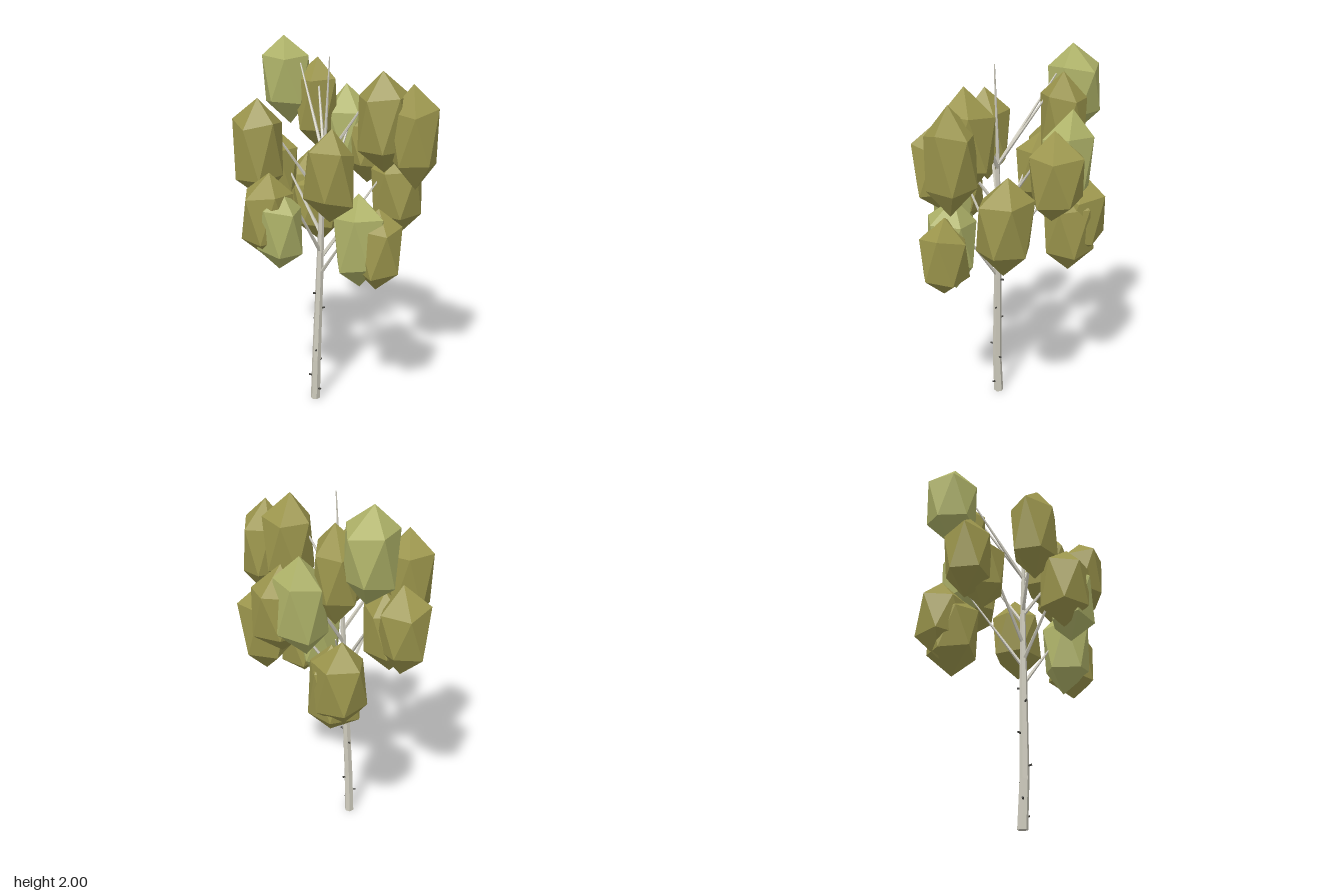
import * as THREE from 'three';
import { ConvexGeometry } from 'three/addons/geometries/ConvexGeometry.js';

const material = (color) => new THREE.MeshStandardMaterial({ color, flatShading: true });
const bark = material(0xcfccbe);
const dark = material(0x45443f);
const olive = material(0x9b954c);
const light = material(0xaeb268);

// Foliage clumps: x, z, bottom y, top y, radius, colour
const clumps = [
  [0.225, -0.31, 0.96, 1.47, 0.142, olive],
  [0.435, -0.175, 1.29, 1.82, 0.13, olive],
  [0.29, -0.112, 1.36, 1.875, 0.138, olive],
  [0.37, 0.00, 0.78, 1.21, 0.13, olive],
  [0.29, 0.05, 0.775, 1.28, 0.135, light],
  [0.243, 0.222, 1.16, 1.63, 0.128, olive],
  [0.035, 0.365, 0.90, 1.32, 0.12, light],
  [-0.03, 0.385, 0.95, 1.40, 0.135, olive],
  [-0.175, 0.315, 1.22, 1.74, 0.132, olive],
  [-0.43, 0.087, 1.11, 1.58, 0.133, olive],
  [-0.32, 0.065, 1.08, 1.52, 0.12, olive],
  [-0.41, -0.11, 1.52, 2.00, 0.14, light],
  [-0.26, -0.19, 1.39, 1.89, 0.122, olive],
  [-0.355, -0.24, 0.89, 1.35, 0.14, olive],
  [-0.295, -0.225, 0.82, 1.30, 0.138, olive],
  [-0.16, -0.325, 1.22, 1.74, 0.138, light],
  [-0.045, -0.38, 1.20, 1.66, 0.145, olive],
];

// Branch tips: x, y, z
const tips = [
  [0.20, 1.33, -0.24], [0.22, 1.74, -0.08], [0.22, 1.08, 0.035], [0.19, 1.51, 0.16],
  [0.02, 1.30, 0.30], [-0.13, 1.60, 0.27], [-0.29, 1.42, 0.065], [-0.29, 1.86, -0.10],
  [-0.22, 1.82, -0.16], [-0.22, 1.28, -0.17], [-0.09, 1.60, -0.30],
];

// Trunk centre line and radii: x, y, z, radius
const spine = [
  [-0.035, 0, 0.052, 0.027],
  [-0.024, 0.25, 0.053, 0.025],
  [-0.015, 0.75, 0.035, 0.021],
  [-0.008, 1.2, 0.022, 0.014],
  [0.005, 1.5, 0.012, 0.009],
  [0.03, 1.93, 0.005, 0.003],
];

// Centre of the trunk at a height, with its radius in w
function trunkAt(y) {
  let i = 0;
  while (i < spine.length - 2 && spine[i + 1][1] < y) i++;
  const a = new THREE.Vector4(...spine[i]), b = new THREE.Vector4(...spine[i + 1]);
  return a.lerp(b, THREE.MathUtils.clamp((y - a.y) / (b.y - a.y), 0, 1));
}

// Tapered straight limb between two points
function limb(name, a, b, ra, rb, mat) {
  const dir = b.clone().sub(a);
  const mesh = new THREE.Mesh(new THREE.CylinderGeometry(rb, ra, dir.length(), 5), mat);
  mesh.position.copy(a).lerp(b, 0.5);
  mesh.quaternion.setFromUnitVectors(new THREE.Vector3(0, 1, 0), dir.normalize());
  mesh.name = name;
  return mesh;
}

// Irregular upright icosahedron: two staggered rings of five between two poles
function clumpGeometry(radius, height, rand) {
  const jitter = (s) => (rand() - 0.5) * s;
  const turn = rand() * Math.PI * 2;
  const points = [
    new THREE.Vector3(jitter(0.04), height / 2, jitter(0.04)),
    new THREE.Vector3(jitter(0.04), -height / 2, jitter(0.04)),
  ];
  for (let i = 0; i < 10; i++) {
    const a = turn + (i / 10) * Math.PI * 2;
    const r = radius * (1 + jitter(0.12));
    const y = (i % 2 ? 0.25 : -0.25) * height + jitter(0.04);
    points.push(new THREE.Vector3(Math.cos(a) * r, y, Math.sin(a) * r * 0.93));
  }
  return new ConvexGeometry(points);
}

export function createModel() {
  const tree = new THREE.Group();
  tree.name = 'tree';
  let seed = 7 * 16807;
  const rand = () => (seed = (seed * 16807) % 2147483647) / 2147483647;

  // Trunk: hexagonal rings lofted along the spine
  const trunkGeometry = new THREE.CylinderGeometry(1, 1, 1, 6, spine.length - 1);
  const pos = trunkGeometry.attributes.position;
  for (let i = 0; i < pos.count; i++) {
    const k = Math.round((pos.getY(i) + 0.5) * (spine.length - 1));
    const [x, y, z, r] = spine[k];
    pos.setXYZ(i, x + pos.getX(i) * r, y, z + pos.getZ(i) * r);
  }
  trunkGeometry.computeVertexNormals();
  const trunk = new THREE.Mesh(trunkGeometry, bark);
  trunk.name = 'trunk';
  tree.add(trunk);

  // Small dark twig stubs up the trunk
  const stubs = new THREE.Group();
  stubs.name = 'twigStubs';
  [0.06, 0.14, 0.23, 0.31, 0.48, 0.56, 0.65, 0.73].forEach((y, i) => {
    const c = trunkAt(y), a = i * 2.4;
    const out = new THREE.Vector3(Math.cos(a), 0.3, Math.sin(a));
    const start = new THREE.Vector3(c.x, y, c.z);
    stubs.add(limb('twigStub', start, start.clone().addScaledVector(out, c.w + 0.014), 0.006, 0.005, dark));
  });
  tree.add(stubs);

  // Branches rise at one steep slope from the trunk
  const branches = new THREE.Group();
  branches.name = 'branches';
  for (const [x, y, z] of tips) {
    const baseY = y - 1.45 * Math.hypot(x, z - 0.02);
    const c = trunkAt(baseY);
    const base = new THREE.Vector3(c.x, baseY, c.z);
    branches.add(limb('branch', base, new THREE.Vector3(x, y, z), 0.011, 0.004, bark));
  }
  tree.add(branches);

  // Foliage
  const foliage = new THREE.Group();
  foliage.name = 'foliage';
  for (const [x, z, bottom, top, radius, mat] of clumps) {
    const clump = new THREE.Mesh(clumpGeometry(radius, top - bottom, rand), mat);
    clump.position.set(x, (bottom + top) / 2, z);
    clump.name = 'leafClump';
    foliage.add(clump);
  }
  tree.add(foliage);
  return tree;
}
